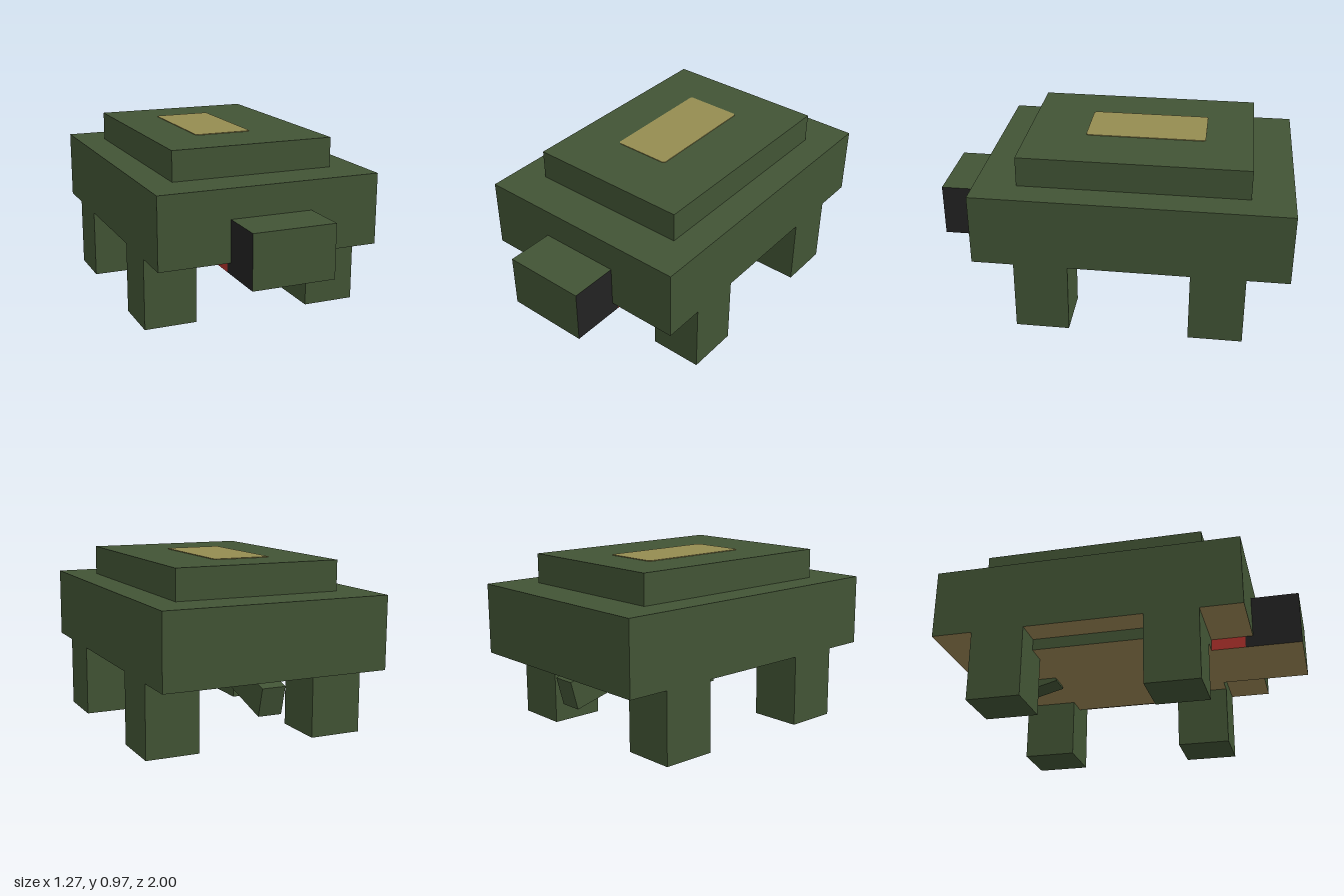
import * as THREE from 'three';

export function createModel() {
  const model = new THREE.Group();
  const mat = (name, color) => new THREE.MeshStandardMaterial({ name, color });
  const green = mat('shell green', 0x425435);
  const tan = mat('underside tan', 0x9a8654);
  const sand = mat('patch sand', 0x958c51);
  const black = mat('head black', 0x222222);
  const red = mat('neck red', 0xb0322c);

  // Box from its minimum and maximum corners; sides and underside may differ in colour
  function box(name, [x0, y0, z0], [x1, y1, z1], side = green, under = green) {
    const geo = new THREE.BoxGeometry(x1 - x0, y1 - y0, z1 - z0);
    const mesh = new THREE.Mesh(geo, [side, side, green, under, green, green]);
    mesh.position.set((x0 + x1) / 2, (y0 + y1) / 2, (z0 + z1) / 2);
    mesh.name = name;
    model.add(mesh);
    return mesh;
  }

  // Shell: wide rim around a narrower body that shows above and below it
  box('shellRim', [-0.633, 0.4, -1], [0.633, 0.8, 0.733], green, tan);
  box('body', [-0.467, 0.335, -0.767], [0.467, 0.968, 0.5], green, tan);

  // Head and neck
  box('head', [-0.233, 0.335, 0.69], [0.233, 0.635, 1], black, tan);
  box('neck', [-0.233, 0.335, 0.5], [0.233, 0.635, 0.69], red, tan);

  // Four legs
  for (const [end, z] of [['front', 0.2], ['back', -0.767]]) {
    box(end + 'LeftLeg', [0.335, 0, z], [0.633, 0.4, z + 0.3]);
    box(end + 'RightLeg', [-0.633, 0, z], [-0.335, 0.4, z + 0.3]);
  }

  // Tail, drooping backwards
  const tail = box('tail', [-0.066, 0.256, -0.928], [0.066, 0.418, -0.468]);
  tail.rotation.x = -Math.PI / 12;

  // Off-centre patch on the shell top, with clipped corners
  const w = 0.165, d = 0.335, c = 0.012;
  const outline = [
    [w - c, -d], [w, -d + c], [w, d - c], [w - c, d],
    [-w + c, d], [-w, d - c], [-w, -d + c], [-w + c, -d],
  ].map(([x, y]) => new THREE.Vector2(x, y));
  const patch = new THREE.Mesh(
    new THREE.ExtrudeGeometry(new THREE.Shape(outline), { depth: 0.004, bevelEnabled: false }), sand);
  patch.rotation.x = -Math.PI / 2;
  patch.position.set(-0.035, 0.968, -0.168);
  patch.name = 'shellPatch';
  model.add(patch);

  return model;
}
